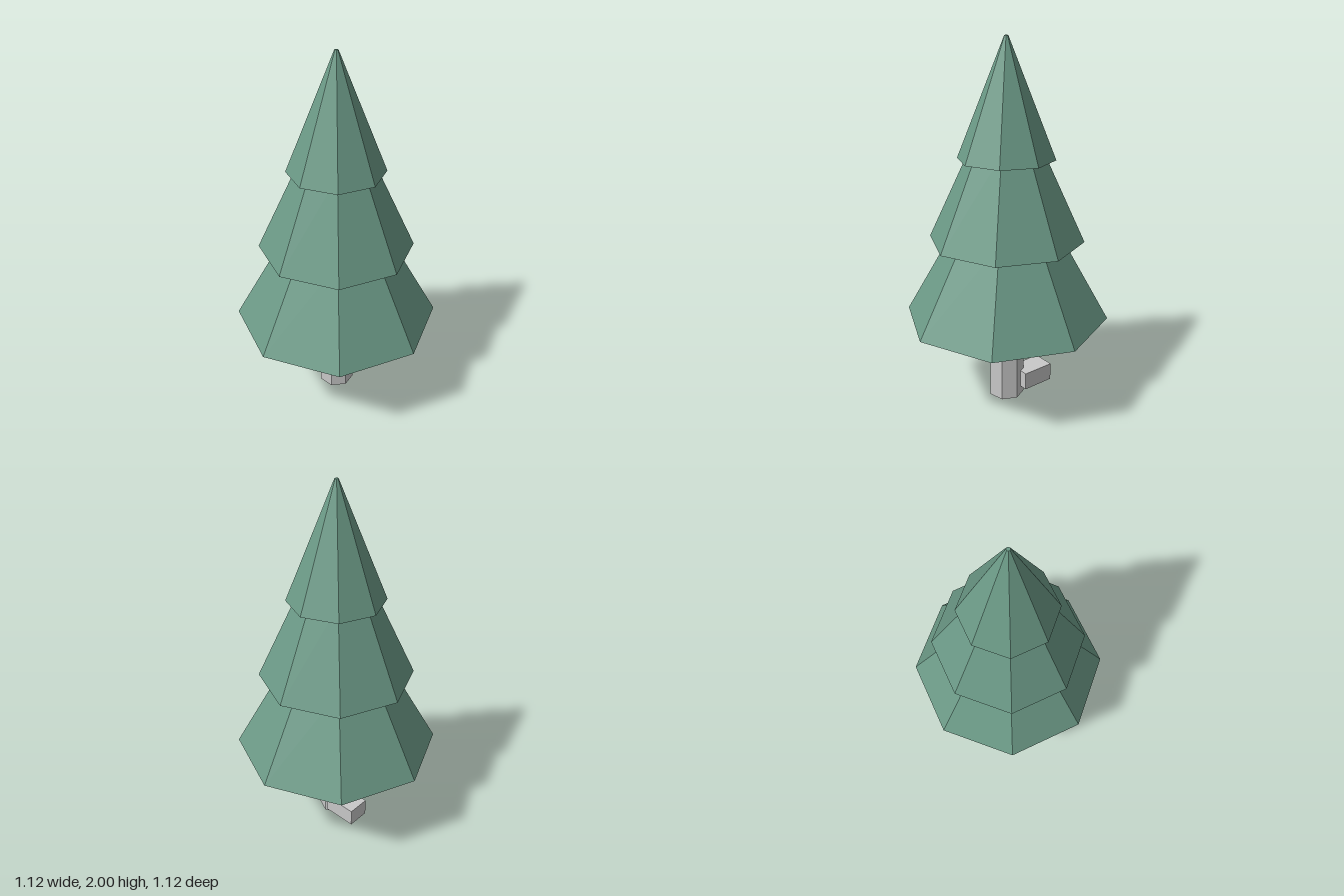
import * as THREE from 'three';

export function createModel() {
  const tree = new THREE.Group();
  tree.name = 'pineTree';

  const needleGreen = new THREE.MeshStandardMaterial({ color: 0x6b9986, flatShading: true });
  needleGreen.name = 'needle green';
  const barkGrey = new THREE.MeshStandardMaterial({ color: 0xc8c8c8, flatShading: true });
  barkGrey.name = 'bark grey';

  function add(name, geometry, material, x, y, z) {
    const mesh = new THREE.Mesh(geometry, material);
    mesh.name = name;
    mesh.position.set(x, y, z);
    tree.add(mesh);
    return mesh;
  }

  // Trunk: seven-sided, flat side to the front
  const trunk = add('trunk', new THREE.CylinderGeometry(0.1, 0.1, 0.52, 7), barkGrey, 0, 0.26, 0);
  trunk.rotation.y = Math.PI;

  // Branch stub low on the back right of the trunk
  add('branchStub', new THREE.BoxGeometry(0.187, 0.1, 0.125), barkGrey, -0.1365, 0.1, -0.0625);

  // Foliage: stacked eight-sided cones, each tucked under the next
  const tiers = [
    { name: 'lowerFoliage', bottom: 0.5, top: 1.0, r0: 0.56, r1: 0.276 },
    { name: 'middleFoliage', bottom: 0.94, top: 1.44, r0: 0.42, r1: 0.187 },
    { name: 'upperFoliage', bottom: 1.38, top: 2.0, r0: 0.26, r1: 0.01 },
  ];
  for (const { name, bottom, top, r0, r1 } of tiers) {
    add(name, new THREE.CylinderGeometry(r1, r0, top - bottom, 8), needleGreen, 0, (top + bottom) / 2, 0);
  }

  return tree;
}
